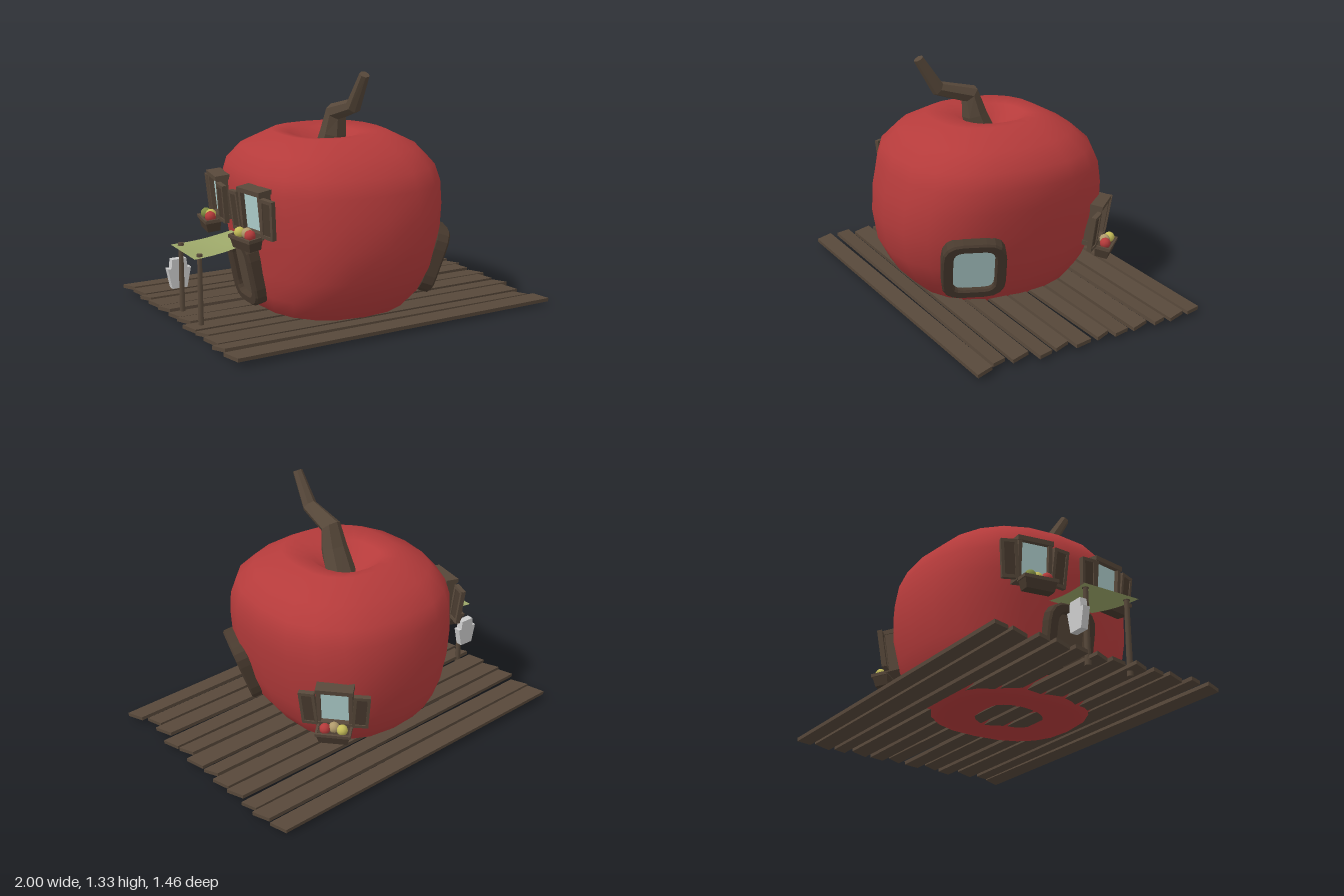
import * as THREE from 'three';

const mat = (color, extra = {}) => new THREE.MeshStandardMaterial({ color, ...extra });
const M = {
  red: mat(0xb53b3b, { side: THREE.DoubleSide }), wood: mat(0x57483a), bark: mat(0x57483a, { flatShading: true }),
  dark: mat(0x483a2e), glass: mat(0xb0d0ce), cloth: mat(0x9ba668, { side: THREE.DoubleSide }),
  grey: mat(0xcccccc), fruitRed: mat(0xb53b3b), yellow: mat(0xc4bc58), green: mat(0x7f8c42), beige: mat(0xb09a6c),
};

function add(parent, name, geometry, material, x = 0, y = 0, z = 0) {
  const m = new THREE.Mesh(geometry, material);
  m.name = name;
  m.position.set(x, y, z);
  parent.add(m);
  return m;
}
const box = (parent, name, w, h, d, material, x, y, z) =>
  add(parent, name, new THREE.BoxGeometry(w, h, d), material, x, y, z);

// Skin a stack of closed rings; point(ring, angle) returns [x, y, z]
function loft(rings, sides, point) {
  const pos = [], idx = [];
  rings.forEach((r, i) => {
    for (let j = 0; j < sides; j++) {
      pos.push(...point(r, (j / sides) * Math.PI * 2));
      if (!i) continue;
      const a = (i - 1) * sides + j, b = (i - 1) * sides + ((j + 1) % sides);
      idx.push(a, a + sides, b, b, a + sides, b + sides);
    }
  });
  const g = new THREE.BufferGeometry();
  g.setAttribute('position', new THREE.Float32BufferAttribute(pos, 3));
  g.setIndex(idx);
  g.computeVertexNormals();
  return g;
}

// Apple body rings: y, x min, x max, z min, z max
function appleBody() {
  const rings = [
    [0.06, -0.06, -0.05, 0.03, 0.04], [0.035, -0.17, 0.07, -0.1, 0.17], [0, -0.29, 0.19, -0.25, 0.32],
    [0.01, -0.38, 0.28, -0.35, 0.42], [0.05, -0.48, 0.33, -0.41, 0.48], [0.15, -0.525, 0.4, -0.49, 0.575],
    [0.28, -0.55, 0.445, -0.545, 0.645], [0.45, -0.575, 0.485, -0.577, 0.673], [0.6, -0.6, 0.505, -0.573, 0.66],
    [0.72, -0.61, 0.51, -0.55, 0.63], [0.81, -0.59, 0.48, -0.51, 0.6], [0.9, -0.52, 0.4, -0.41, 0.5],
    [0.98, -0.355, 0.24, -0.26, 0.36], [0.96, -0.25, 0.12, -0.18, 0.2], [0.88, -0.17, 0.04, -0.11, 0.1],
    [0.78, -0.07, -0.06, -0.03, -0.02],
  ];
  const soft = (v) => Math.sign(v) * Math.pow(Math.abs(v), 0.82);
  return loft(rings, 20, ([y, x0, x1, z0, z1], t) => [
    (x0 + x1) / 2 + ((x1 - x0) / 2) * soft(Math.cos(t)), y,
    (z0 + z1) / 2 + ((z1 - z0) / 2) * soft(Math.sin(t)),
  ]);
}

// Bent stem rings: y, z, lean from vertical, half width, half thickness
function stem() {
  const rings = [
    [0.78, 0.03, 0.4, 0.1, 0.085], [0.98, 0.11, 0.3, 0.075, 0.068], [1.09, 0.138, 0.75, 0.058, 0.056],
    [1.145, 0.325, 0.95, 0.042, 0.042], [1.32, 0.435, 0.5, 0.027, 0.028], [1.32, 0.435, 0.5, 0, 0],
  ];
  return loft(rings, 7, ([y, z, lean, w, d], t) => [
    -0.06 + w * Math.cos(t), y - Math.sin(lean) * d * Math.sin(t), z + Math.cos(lean) * d * Math.sin(t),
  ]);
}

function roundedRect(Type, w, h, r) {
  const s = new Type(), x = w / 2, y = h / 2;
  s.moveTo(-x + r, -y).lineTo(x - r, -y).quadraticCurveTo(x, -y, x, -y + r)
    .lineTo(x, y - r).quadraticCurveTo(x, y, x - r, y).lineTo(-x + r, y)
    .quadraticCurveTo(-x, y, -x, y - r).lineTo(-x, -y + r).quadraticCurveTo(-x, -y, -x + r, -y);
  return s;
}

// Group whose local +z faces out of the wall; lean tips it downward
function mount(parent, name, pos, yaw, lean) {
  const g = new THREE.Group();
  g.name = name;
  g.position.set(...pos);
  g.rotation.set(lean, yaw, 0, 'YXZ');
  parent.add(g);
  return g;
}

// Thick rounded frame with a panel set inside
function roundedOpening(g, w, h, panelName, panelMaterial) {
  const frame = roundedRect(THREE.Shape, w - 0.02, h - 0.02, 0.1);
  frame.holes.push(roundedRect(THREE.Path, w - 0.1, h - 0.09, 0.065));
  const fg = new THREE.ExtrudeGeometry(frame, {
    depth: 0.06, bevelSize: 0.01, bevelThickness: 0.01, bevelSegments: 1, curveSegments: 4,
  });
  add(g, 'roundedFrame', fg, M.dark, 0, 0, -0.04);
  const panel = new THREE.ExtrudeGeometry(roundedRect(THREE.Shape, w - 0.09, h - 0.08, 0.065), { depth: 0.03, bevelEnabled: false });
  add(g, panelName, panel, panelMaterial, 0, 0, -0.03);
}

// Window with open shutters and a box of fruit
function shutteredWindow(g, fruits) {
  box(g, 'pane', 0.17, 0.22, 0.05, M.glass, 0, 0.02, -0.015);
  box(g, 'lintel', 0.2, 0.025, 0.08, M.wood, 0, 0.125, 0);
  box(g, 'sill', 0.2, 0.025, 0.08, M.wood, 0, -0.095, 0);
  for (const s of [-1, 1]) {
    box(g, 'jamb', 0.02, 0.22, 0.07, M.wood, s * 0.085, 0.015, 0);
    const shutter = new THREE.Group();
    shutter.name = 'shutter';
    shutter.position.set(s * 0.095, 0.005, 0.03);
    shutter.rotation.set(0, s * 0.12, -s * 0.08);
    g.add(shutter);
    box(shutter, 'shutterPanel', 0.08, 0.2, 0.014, M.dark, s * 0.045, 0, 0);
    for (const k of [-1, 1]) {
      box(shutter, 'shutterRail', 0.085, 0.018, 0.026, M.wood, s * 0.045, k * 0.095, 0);
      box(shutter, 'shutterStile', 0.016, 0.205, 0.026, M.wood, s * 0.045 + k * 0.036, 0, 0);
    }
  }
  // Planter, narrower at its base
  const pg = new THREE.BoxGeometry(0.18, 0.06, 0.085), p = pg.attributes.position;
  for (let i = 0; i < p.count; i++) if (p.getY(i) < 0) p.setXYZ(i, p.getX(i) * 0.85, p.getY(i), p.getZ(i) * 0.8);
  pg.computeVertexNormals();
  add(g, 'planter', pg, M.dark, 0, -0.135, 0.075);
  for (const s of [-1, 1]) {
    box(g, 'planterRim', 0.19, 0.018, 0.012, M.wood, 0, -0.105, 0.075 + s * 0.04);
    box(g, 'planterRim', 0.012, 0.018, 0.085, M.wood, s * 0.089, -0.105, 0.075);
  }
  fruits.forEach((f, i) =>
    add(g, 'fruit', new THREE.SphereGeometry(0.03, 10, 8), M[f], (i - 1) * 0.046, -0.088, i === 1 ? 0.065 : 0.08));
}

// Deck boards with slanted ends
function deck(parent) {
  const left = [-1, -0.98, -0.99, -0.98, -0.97, -0.96, -0.95, -0.97, -0.95, -0.95, -0.96, -0.95];
  const right = [0.93, 0.95, 0.95, 0.95, 0.96, 0.95, 0.97, 0.95, 0.98, 0.95, 0.94, 1];
  const g = new THREE.Group();
  g.name = 'deck';
  parent.add(g);
  left.forEach((x0, i) => {
    const len = right[i] - x0 - 0.03, width = 0.095 + 0.012 * Math.sin(i * 2.3);
    const geo = new THREE.BoxGeometry(len, 0.02, width), p = geo.attributes.position;
    for (let k = 0; k < p.count; k++) p.setX(k, p.getX(k) + Math.sign(p.getZ(k)) * 0.015);
    geo.computeVertexNormals();
    const cx = (x0 + right[i]) / 2;
    const m = add(g, 'plank', geo, M.wood, cx, 0.034 - cx * 0.01, -0.655 + i * 0.118 - cx * 0.035);
    m.rotation.set((i % 2 ? 1 : -1) * 0.06, 0.035 + 0.006 * Math.sin(i * 4.1), -0.009);
  });
}

// Cloth awning on two posts
function porch(parent) {
  const g = new THREE.Group();
  g.name = 'porch';
  parent.add(g);
  const geo = new THREE.PlaneGeometry(1, 1, 6, 6), p = geo.attributes.position;
  for (let i = 0; i < p.count; i++) {
    const u = p.getX(i) + 0.5, v = p.getY(i);
    const sag = 0.02 * Math.sin(u * Math.PI) * (1 - 2 * v * v);
    p.setXYZ(i, -0.925 + 0.335 * u, 0.412 + 0.045 * u - sag, 0.065 + v * (0.335 - 0.065 * u));
  }
  geo.computeVertexNormals();
  add(g, 'awning', geo, M.cloth);
  for (const z of [-0.065, 0.19]) {
    add(g, 'post', new THREE.CylinderGeometry(0.013, 0.016, 0.41, 8), M.wood, -0.882, 0.21, z);
    add(g, 'postCap', new THREE.CylinderGeometry(0.015, 0.018, 0.016, 8), M.wood, -0.882, 0.418, z);
  }
  // Hanging plate on the back post
  const s = new THREE.Shape([[-0.042, -0.08], [0.042, -0.08], [0.065, 0.03], [0.045, 0.03], [0.04, 0.08], [-0.04, 0.08],
    [-0.045, 0.03], [-0.065, 0.03]].map(([x, y]) => new THREE.Vector2(x, y)));
  add(g, 'hangingPlate', new THREE.ExtrudeGeometry(s, { depth: 0.04, bevelEnabled: false }), M.grey, -0.882, 0.25, -0.132);
}

export function createModel() {
  const root = new THREE.Group();
  root.name = 'appleHouse';
  add(root, 'appleBody', appleBody(), M.red);
  add(root, 'stem', stem(), M.bark);
  deck(root);
  porch(root);
  roundedOpening(mount(root, 'roundedWindow', [0.405, 0.288, 0.36], 1.2, 0.33), 0.34, 0.37, 'pane', M.glass);
  roundedOpening(mount(root, 'door', [-0.567, 0.27, 0.06], -Math.PI / 2, 0.2), 0.29, 0.38, 'doorPanel', M.wood);
  shutteredWindow(mount(root, 'backSideWindow', [-0.6, 0.62, -0.18], -1.73, 0.1), ['green', 'yellow', 'fruitRed']);
  shutteredWindow(mount(root, 'frontSideWindow', [-0.6, 0.62, 0.27], -1.4, 0.1), ['yellow', 'beige', 'fruitRed']);
  shutteredWindow(mount(root, 'cornerWindow', [0.35, 0.38, -0.43], 2.32, 0.15), ['fruitRed', 'beige', 'yellow']);
  return root;
}
